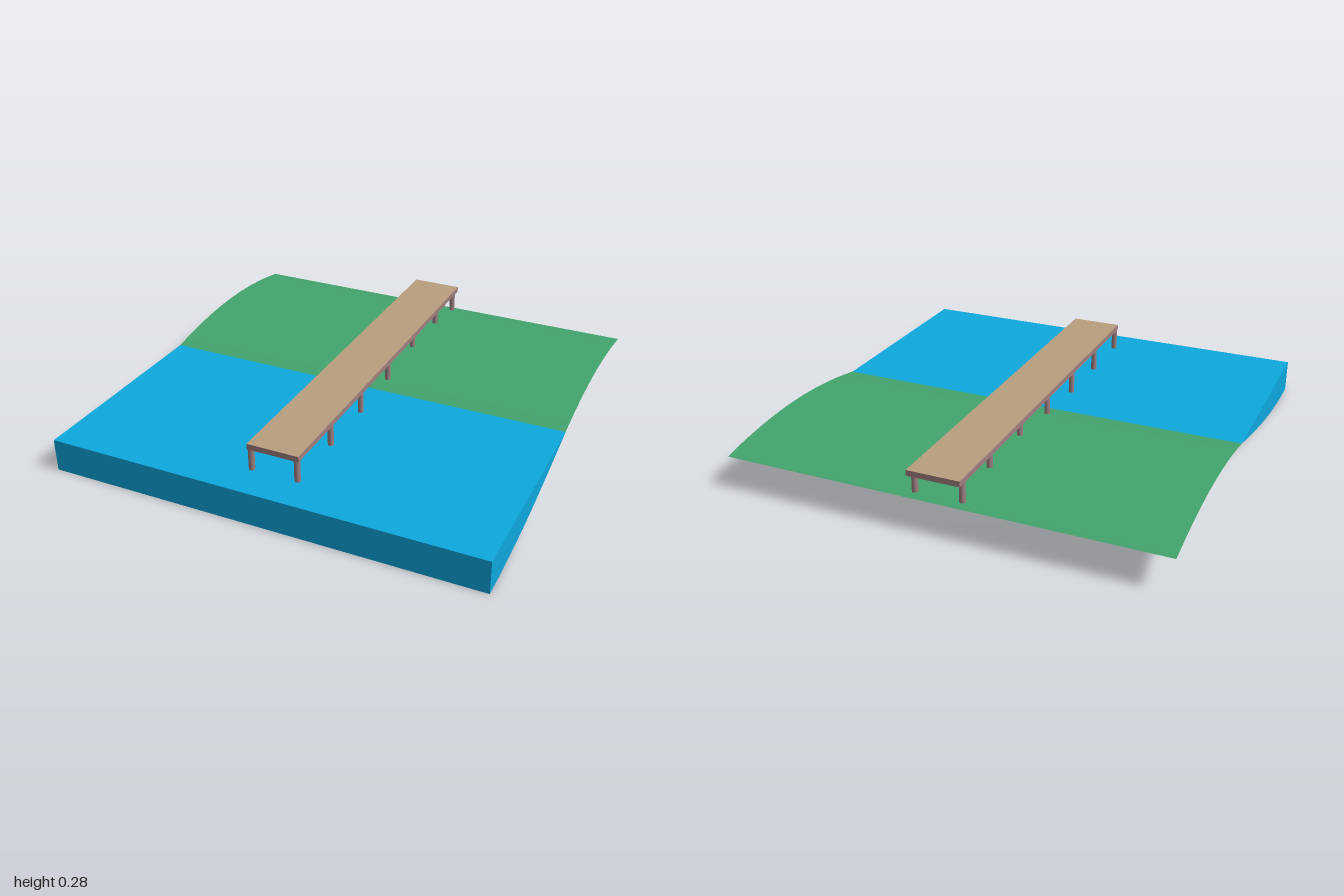
import * as THREE from 'three';

const WATER_LEVEL = 0.152;

// Height of the ground: a hump behind the shoreline, a bowl in front of it
const groundHeight = (z) => z < 0
  ? WATER_LEVEL - 0.204 * z * (1 + z)
  : WATER_LEVEL * (1 - Math.sin(z * Math.PI / 2));

const material = (color, side = THREE.FrontSide) => new THREE.MeshStandardMaterial({ color, side });

export function createModel() {
  const model = new THREE.Group();
  model.name = 'lakeshoreWithPier';
  const add = (name, geometry, mat, parent = model) => {
    const mesh = new THREE.Mesh(geometry, mat);
    mesh.name = name;
    parent.add(mesh);
    return mesh;
  };

  // Land: thin curved sheet behind the shoreline
  const land = new THREE.PlaneGeometry(2, 1, 1, 40).rotateX(-Math.PI / 2).translate(0, 0, -0.5);
  const pos = land.attributes.position;
  for (let i = 0; i < pos.count; i++) pos.setY(i, groundHeight(pos.getZ(i)));
  land.computeVertexNormals();
  add('land', land, material(0x42a56d, THREE.DoubleSide));

  // Water: side profile with a curved bed, extruded across the width
  const profile = new THREE.Shape();
  const steps = 40;
  profile.moveTo(0, WATER_LEVEL);
  profile.lineTo(-1, WATER_LEVEL);
  for (let i = steps; i > 0; i--) profile.lineTo(-i / steps, groundHeight(i / steps));
  profile.closePath();
  const water = new THREE.ExtrudeGeometry(profile, { depth: 2, bevelEnabled: false })
    .rotateY(Math.PI / 2).translate(-1, 0, 0);
  add('water', water, material(0x0ea8de));

  // Pier: tan walkway with darker edges
  const pier = new THREE.Group();
  pier.name = 'pier';
  model.add(pier);
  const wood = material(0xa08080);
  const tan = material(0xb89e7e);
  const deck = new THREE.BoxGeometry(0.24, 0.026, 1.845).translate(0, 0.265, -0.0775);
  add('deck', deck, [wood, wood, tan, wood, wood, wood], pier);

  // Posts: pairs standing on the ground
  for (const z of [0.832, 0.524, 0.216, -0.09, -0.397, -0.704, -0.955]) {
    const bottom = groundHeight(z);
    const height = 0.255 - bottom;
    for (const side of [-1, 1]) {
      const post = new THREE.CylinderGeometry(0.014, 0.014, height, 8);
      add(side > 0 ? 'leftPost' : 'rightPost', post, wood, pier)
        .position.set(side * 0.107, bottom + height / 2, z);
    }
  }
  return model;
}
